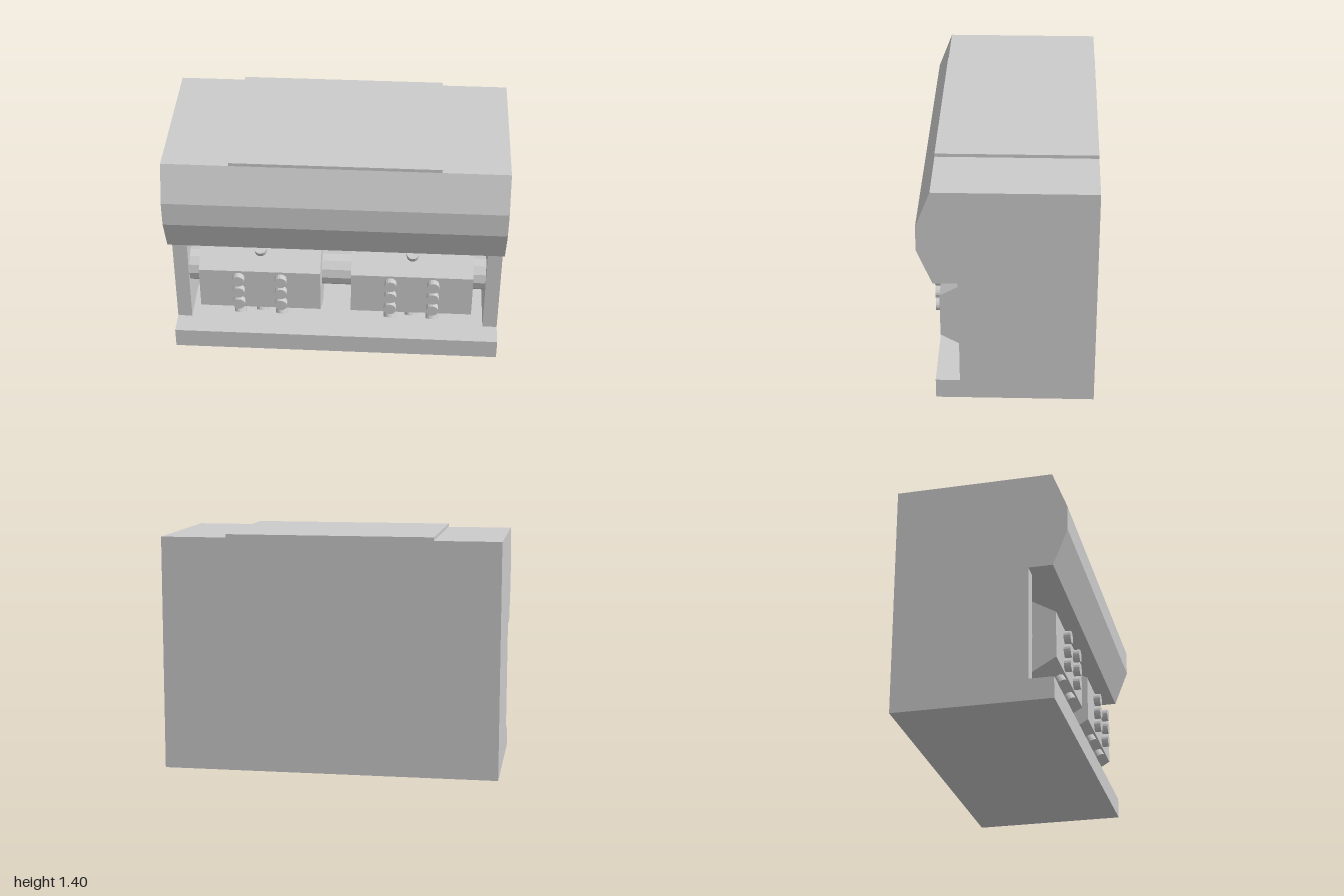
import * as THREE from 'three';

const material = new THREE.MeshStandardMaterial({ color: 0xcccccc, flatShading: true });

function add(parent, name, geometry) {
  const mesh = new THREE.Mesh(geometry, material);
  mesh.name = name;
  parent.add(mesh);
  return mesh;
}

// Extrude a [z, y] side profile along x, centred on x = 0
function extrudeX(points, width) {
  const shape = new THREE.Shape(points.map(([z, y]) => new THREE.Vector2(z, y)));
  return new THREE.ExtrudeGeometry(shape, { depth: width, bevelEnabled: false })
    .translate(0, 0, -width / 2)
    .rotateY(-Math.PI / 2);
}

// Cabinet side profile: base lip, recess, faceted hood
const cabinetProfile = (recessZ) => [
  [-0.5, 0], [0.415, 0], [0.415, 0.125], [recessZ, 0.125], [recessZ, 0.8],
  [0.415, 0.8], [0.5, 1.015], [0.5, 1.165], [0.415, 1.385], [-0.5, 1.385],
];

const HALF_WIDTH = 0.993, INNER = 0.905;
const AXIS_Y = 0.46, AXIS_Z = 0.155;
const HEX_RADIUS = 0.275, HEX_APOTHEM = HEX_RADIUS * Math.cos(Math.PI / 6);

// Hexagonal block with bolts on its front three faces
function createBlock() {
  const block = new THREE.Group();
  block.name = 'hexBlock';
  const hexagon = Array.from({ length: 6 }, (_, i) => {
    const a = Math.PI / 6 + i * Math.PI / 3;
    return [HEX_RADIUS * Math.cos(a), HEX_RADIUS * Math.sin(a)];
  });
  add(block, 'blockBody', extrudeX(hexagon, 0.73));

  const columns = [];
  for (const x of [-0.1275, 0.1275]) for (const u of [-0.0875, 0, 0.0875]) columns.push([x, u]);
  const corners = columns.filter(([, u]) => u !== 0);
  const faces = [
    { name: 'upperBolts', tilt: Math.PI / 3, spots: [[0, 0]] },
    { name: 'frontBolts', tilt: 0, spots: columns },
    { name: 'lowerBolts', tilt: -Math.PI / 3, spots: [...corners, [0, 0]] },
  ];
  const boltGeometry = new THREE.CylinderGeometry(0.037, 0.037, 0.05, 16).rotateX(Math.PI / 2);
  for (const { name, tilt, spots } of faces) {
    const face = new THREE.Group();
    face.name = name;
    face.rotation.x = -tilt;
    for (const [x, u] of spots) add(face, 'bolt', boltGeometry).position.set(x, u, HEX_APOTHEM + 0.015);
    block.add(face);
  }
  return block;
}

export function createModel() {
  const model = new THREE.Group();
  model.name = 'machineCabinet';

  // Cabinet: deep recess in the middle, shallow side posts
  add(model, 'cabinetBody', extrudeX(cabinetProfile(-0.1), INNER * 2));
  const postWidth = HALF_WIDTH - INNER;
  for (const side of [-1, 1]) {
    const post = add(model, side > 0 ? 'leftCheek' : 'rightCheek', extrudeX(cabinetProfile(0.275), postWidth));
    post.position.x = side * (INNER + postWidth / 2);
  }

  // Raised plate on top
  add(model, 'topPlate', extrudeX([[-0.5, 1.385], [0.415, 1.385], [0.415, 1.405], [-0.5, 1.405]], 1.21));

  // Shaft carrying two blocks
  const shaft = add(model, 'shaft', new THREE.CylinderGeometry(0.105, 0.105, INNER * 2, 12).rotateZ(Math.PI / 2));
  shaft.position.set(0, AXIS_Y, AXIS_Z);
  for (const side of [-1, 1]) {
    const block = createBlock();
    block.position.set(side * 0.457, AXIS_Y, AXIS_Z);
    model.add(block);
  }

  // Slight turn about the vertical
  model.rotation.y = 0.0125;
  const root = new THREE.Group();
  root.add(model);
  return root;
}
